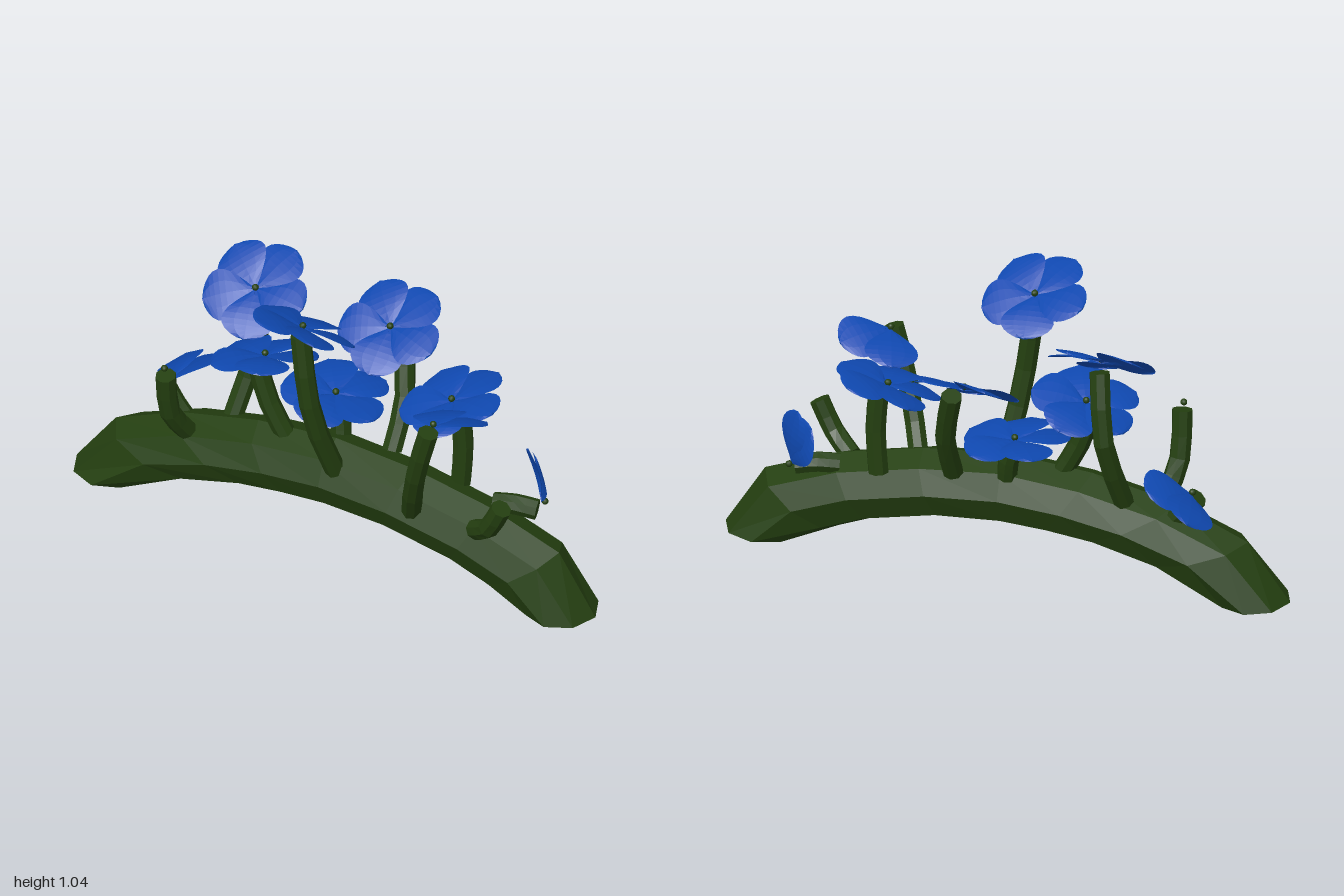
import * as THREE from 'three';

const bark = new THREE.MeshStandardMaterial({ color: 0x243f10 });
bark.name = 'mossy green';
const blue = new THREE.MeshStandardMaterial({ color: 0x0f48b0, side: THREE.DoubleSide });
blue.name = 'petal blue';

const V = (x, y, z) => new THREE.Vector3(x, y, z);
const SIDES = 8;

// Capped faceted tube through rings given as { c: centre, a, b: half axes }
function loft(rings) {
  const pos = [];
  const tri = (...pts) => pts.forEach((p) => pos.push(p.x, p.y, p.z));
  const loops = rings.map(({ c, a, b }) => Array.from({ length: SIDES }, (_, j) => {
    const t = (j / SIDES) * Math.PI * 2;
    return c.clone().addScaledVector(a, Math.cos(t)).addScaledVector(b, Math.sin(t));
  }));
  const last = loops.length - 1;
  for (let j = 0; j < SIDES; j++) {
    const k = (j + 1) % SIDES;
    for (let i = 0; i < last; i++) {
      tri(loops[i][j], loops[i][k], loops[i + 1][k]);
      tri(loops[i][j], loops[i + 1][k], loops[i + 1][j]);
    }
    tri(rings[0].c, loops[0][k], loops[0][j]);
    tri(rings[last].c, loops[last][j], loops[last][k]);
  }
  const geo = new THREE.BufferGeometry();
  geo.setAttribute('position', new THREE.Float32BufferAttribute(pos, 3));
  geo.computeVertexNormals();
  return geo;
}

function addMesh(parent, name, geo, mat) {
  const mesh = new THREE.Mesh(geo, mat);
  mesh.name = name;
  parent.add(mesh);
  return mesh;
}

// Bent stem through a few points
function stemGeometry(points, r = 0.036) {
  const curve = new THREE.CatmullRomCurve3(points.map((p) => V(...p)));
  const steps = 4;
  return loft(Array.from({ length: steps + 1 }, (_, i) => {
    const t = curve.getTangent(i / steps);
    const a = V(0, 0, 1).addScaledVector(t, -t.z).normalize();
    const b = t.clone().cross(a);
    return { c: curve.getPoint(i / steps), a: a.multiplyScalar(r), b: b.multiplyScalar(r) };
  }));
}

// Broad rounded petal, growing along +y and facing +z
function petalGeometry() {
  const geo = new THREE.PlaneGeometry(2, 1, 4, 10);
  const p = geo.attributes.position;
  for (let i = 0; i < p.count; i++) {
    const u = p.getX(i);
    const s = p.getY(i) + 0.5;
    const v = 1 - (1 - s) ** 1.5;
    const half = 0.092 * Math.max(0, Math.sin(Math.PI * v ** 1.6)) ** 0.6;
    const x = u * half;
    p.setXYZ(i, x, 0.19 * v, x * 0.12 + 0.012 * Math.sin(v * Math.PI) - 0.006 * u * u);
  }
  const flat = geo.toNonIndexed();
  flat.computeVertexNormals();
  return flat;
}

// Flower at a centre, facing a normal; angles in degrees, 0 pointing to the back
function flower(petal, centre, normal, angles) {
  const g = new THREE.Group();
  g.name = 'flower';
  const n = V(...normal).normalize();
  const up = V(0, 0, -1).addScaledVector(n, n.z).normalize();
  const right = up.clone().cross(n);
  g.quaternion.setFromRotationMatrix(new THREE.Matrix4().makeBasis(right, up, n));
  g.position.set(...centre);
  angles.forEach((deg) => {
    addMesh(g, 'petal', petal, blue).rotation.z = -THREE.MathUtils.degToRad(deg);
  });
  addMesh(g, 'flowerCentre', new THREE.IcosahedronGeometry(0.012, 1), bark).position.z = 0.008;
  return g;
}

export function createModel() {
  const model = new THREE.Group();
  model.name = 'floweringBranch';

  // Arched branch: upper x, y and lower x, y of each ring
  const arch = [
    [-1, 0.015, -0.75, 0.005], [-0.85, 0.22, -0.5, 0.11], [-0.6, 0.33, -0.28, 0.16],
    [-0.3, 0.4, -0.14, 0.172], [0, 0.43, 0, 0.18], [0.3, 0.405, 0.22, 0.17],
    [0.6, 0.345, 0.47, 0.12], [0.86, 0.25, 0.6, 0.07], [1, 0.03, 0.74, 0.02],
  ];
  addMesh(model, 'archedBranch', loft(arch.map(([tx, ty, bx, by]) => ({
    c: V((tx + bx) / 2, (ty + by) / 2, 0.042),
    a: V((tx - bx) / 2, (ty - by) / 2, 0),
    b: V(0, 0, 0.128),
  }))), bark);

  // Stems
  [
    [[0.04, 0.36, 0.12], [0, 0.6, 0.2], [-0.02, 0.75, 0.215], [-0.05, 0.94, 0.2]],
    [[-0.43, 0.34, -0.02], [-0.39, 0.6, -0.12], [-0.36, 0.84, -0.07]],
    [[0.165, 0.38, -0.05], [0.165, 0.55, -0.14], [0.12, 0.745, -0.21]],
    [[0.43, 0.34, -0.05], [0.44, 0.5, -0.05], [0.43, 0.645, -0.045]],
    [[-0.18, 0.37, 0.05], [-0.25, 0.5, 0.055], [-0.3, 0.645, 0.05]],
    [[-0.02, 0.38, -0.03], [-0.03, 0.45, -0.045], [-0.055, 0.525, -0.05]],
    [[0.34, 0.3, 0.13], [0.39, 0.46, 0.21], [0.43, 0.6, 0.245], [0.47, 0.745, 0.25]],
    [[-0.54, 0.32, 0.11], [-0.565, 0.43, 0.18], [-0.565, 0.6, 0.21]],
    [[0.58, 0.3, 0.12], [0.655, 0.36, 0.165], [0.71, 0.465, 0.175]],
    [[0.58, 0.33, -0.01], [0.65, 0.335, -0.03], [0.725, 0.325, -0.05]],
    [[-0.6, 0.29, 0.01], [-0.64, 0.33, 0.005], [-0.685, 0.385, -0.005]],
  ].forEach((pts) => addMesh(model, 'stem', stemGeometry(pts), bark));

  // Full five-petalled and partly fallen flowers
  const petal = petalGeometry();
  const five = (start) => [0, 1, 2, 3, 4].map((i) => start + i * 72);
  [
    [[-0.05, 0.965, 0.19], [0.12, 0.88, -0.44], five(0)],
    [[-0.36, 0.87, -0.05], [0, 0.84, 0.54], five(24)],
    [[0.08, 0.77, -0.195], [-0.05, 0.87, 0.49], five(36)],
    [[0.4, 0.67, -0.045], [-0.24, 0.95, 0.16], five(33)],
    [[-0.28, 0.67, 0.03], [-0.2, 0.95, -0.2], five(10)],
    [[-0.055, 0.535, -0.055], [0.06, 1, 0.02], five(-36)],
    [[0.47, 0.75, 0.215], [-0.15, 0.95, -0.27], [-20, 45]],
    [[-0.67, 0.405, -0.02], [-0.45, 0.88, 0], [-15, 45]],
    [[0.73, 0.34, -0.08], [0.66, 0.12, -0.74], [-68, -98]],
    [[-0.57, 0.62, 0.21], [0, 1, 0], []],
  ].forEach(([c, n, angles]) => model.add(flower(petal, c, n, angles)));

  return model;
}
